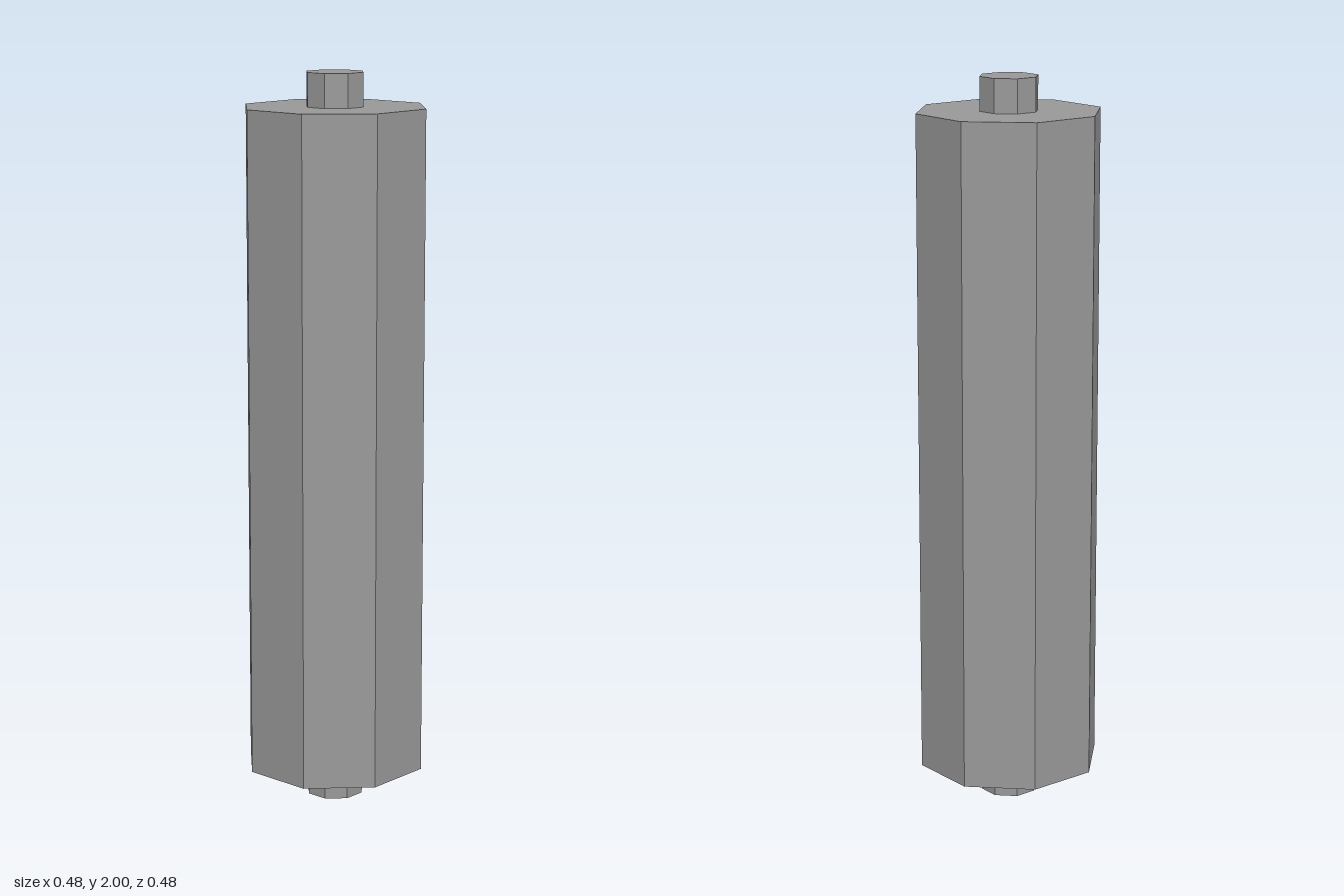
import * as THREE from 'three';

const SIDES = 8;
const TWIST = THREE.MathUtils.degToRad(17.3);

export function createModel() {
  const group = new THREE.Group();
  group.name = 'roller';
  const material = new THREE.MeshStandardMaterial({ color: 0x9a9a9a, flatShading: true });

  // Upright octagonal prism between two heights
  function prism(name, radius, bottom, top) {
    const geometry = new THREE.CylinderGeometry(radius, radius, top - bottom, SIDES, 1, false, TWIST);
    const mesh = new THREE.Mesh(geometry, material);
    mesh.name = name;
    mesh.position.y = (bottom + top) / 2;
    group.add(mesh);
  }

  // Wide drum
  prism('drum', 0.253, 0.091, 1.909);

  // Thin axle stubs sticking out of both ends
  prism('lowerAxle', 0.08, 0, 0.091);
  prism('upperAxle', 0.08, 1.909, 2);

  return group;
}
